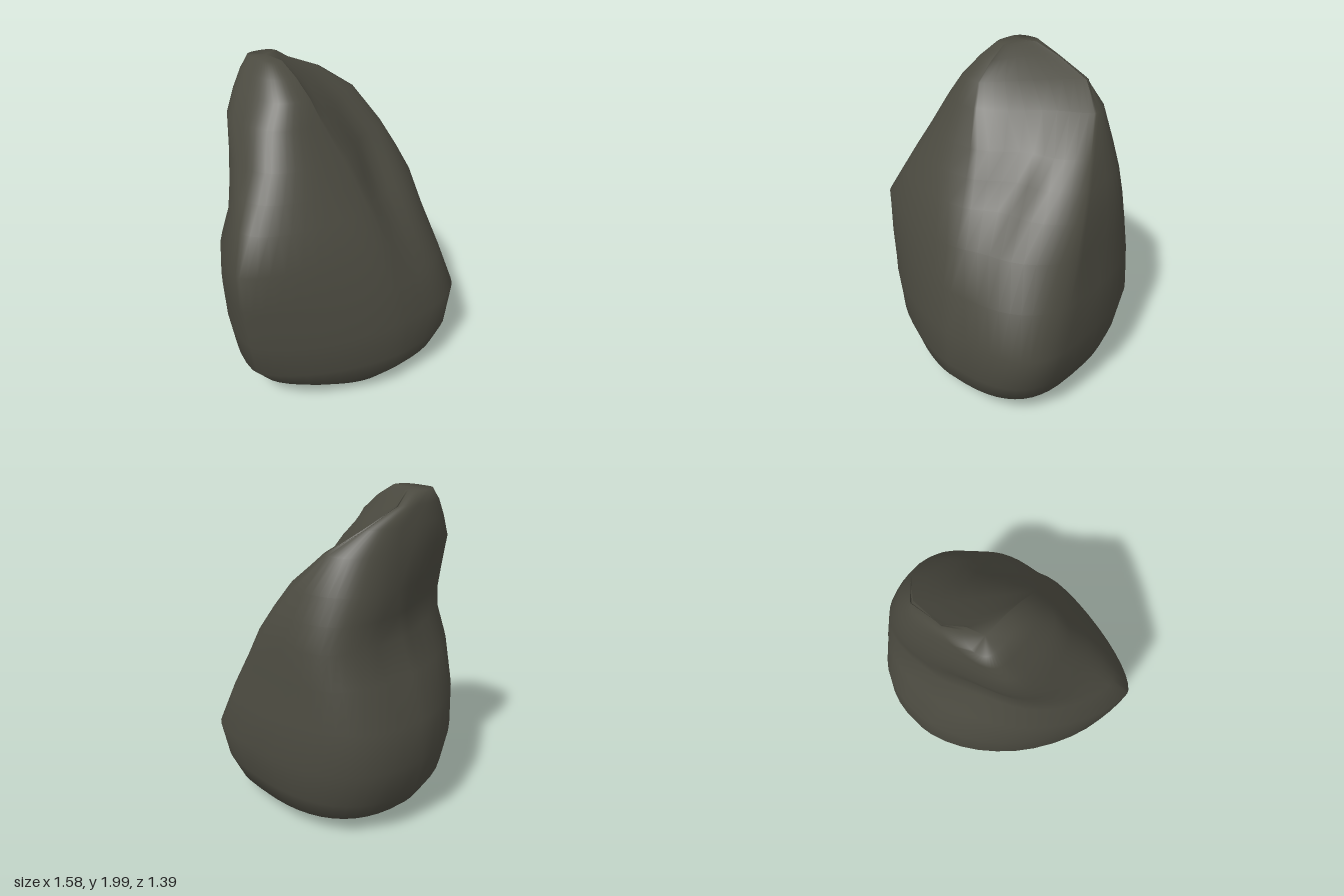
import * as THREE from 'three';

const { smoothstep } = THREE.MathUtils;

// Each level: height, then the four extreme points of its outline:
// left x,z | right x,z | front z,x | back z,x
const LEVELS = [
  [0.01, -0.38, 0.20, 0.43, 0.10, 0.54, 0.05, -0.30, 0.20],
  [0.06, -0.48, 0.22, 0.56, 0.12, 0.59, 0.10, -0.44, 0.14],
  [0.14, -0.59, 0.24, 0.69, 0.16, 0.66, 0.12, -0.55, 0.12],
  [0.27, -0.70, 0.25, 0.74, 0.22, 0.70, 0.15, -0.635, 0.12],
  [0.50, -0.745, 0.26, 0.785, 0.26, 0.695, 0.15, -0.695, 0.13],
  [0.75, -0.775, 0.27, 0.74, 0.20, 0.635, 0.13, -0.67, 0.12],
  [1.00, -0.79, 0.27, 0.705, 0.14, 0.56, 0.10, -0.57, 0.10],
  [1.20, -0.69, 0.17, 0.68, 0.08, 0.45, 0.05, -0.50, 0.10],
  [1.35, -0.615, 0.06, 0.635, -0.01, 0.365, 0.01, -0.505, 0.13],
  [1.50, -0.54, -0.05, 0.58, -0.10, 0.28, -0.03, -0.51, 0.15],
  [1.70, -0.46, -0.20, 0.48, -0.23, 0.17, -0.10, -0.485, 0.15],
  [1.83, -0.38, -0.26, 0.31, -0.35, 0.10, -0.13, -0.45, 0.08],
  [1.93, -0.31, -0.29, 0.07, -0.38, -0.02, -0.14, -0.43, -0.05],
  [2.00, -0.25, -0.30, -0.05, -0.33, -0.14, -0.15, -0.40, -0.15],
];
const SEGMENTS = 48;

// Soft round dent, 1 at its centre
const dent = (x, y, cx, cy, rx, ry) =>
  Math.exp(-(((x - cx) / rx) ** 2) - ((y - cy) / ry) ** 2);

// Point on an outline made of four superellipse quarters
function outlinePoint([y, xL, zL, xR, zR, zF, xF, zB, xB], angle) {
  const c = Math.cos(angle), s = Math.sin(angle);
  const right = c >= 0, front = s >= 0;
  const waist = smoothstep(y, 0.5, 1.2);
  // Larger exponents flatten a quarter and, above 2, hollow it
  let e;
  if (right && front) e = 0.68 + 0.6 * waist + 0.95 * smoothstep(y, 1.45, 1.95);
  else if (right) e = 0.76 - 0.25 * waist + 0.35 * smoothstep(y, 1.2, 1.7);
  else if (front) e = 1.3 - 0.65 * smoothstep(y, 0.9, 1.5);
  else e = 1.15 - 0.45 * smoothstep(y, 1.2, 1.95);
  const cx = front ? xF : xB, cz = right ? zR : zL;
  const ex = right ? xR : xL, ez = front ? zF : zB;
  const x = cx + (ex - cx) * Math.abs(c) ** e;
  let z = cz + (ez - cz) * Math.abs(s) ** e;
  // Valley beside the front ridge, scoop in the upper back
  if (front) z -= 0.1 * dent(x, y, 0.26, 1.4, 0.17, 0.45);
  else z += 0.07 * dent(x, y, -0.15, 1.33, 0.25, 0.25);
  return [x, y, z];
}

function boulderGeometry() {
  const positions = [], index = [];
  for (const level of LEVELS) {
    for (let j = 0; j < SEGMENTS; j++) {
      positions.push(...outlinePoint(level, (j / SEGMENTS) * Math.PI * 2));
    }
  }
  // Skin between the levels
  for (let i = 0; i < LEVELS.length - 1; i++) {
    for (let j = 0; j < SEGMENTS; j++) {
      const k = (j + 1) % SEGMENTS;
      const a = i * SEGMENTS + j, b = i * SEGMENTS + k;
      const c = a + SEGMENTS, d = b + SEGMENTS;
      index.push(a, c, b, b, c, d);
    }
  }
  // Closed underside and crown
  const bottom = positions.length / 3;
  positions.push(0.05, 0.03, 0.1, -0.15, 2, -0.3);
  const top = bottom + 1, last = (LEVELS.length - 1) * SEGMENTS;
  for (let j = 0; j < SEGMENTS; j++) {
    const k = (j + 1) % SEGMENTS;
    index.push(bottom, j, k, top, last + k, last + j);
  }
  const geometry = new THREE.BufferGeometry();
  geometry.setAttribute('position', new THREE.Float32BufferAttribute(positions, 3));
  geometry.setIndex(index);
  geometry.computeVertexNormals();
  return geometry;
}

export function createModel() {
  const group = new THREE.Group();
  group.name = 'rock';
  const material = new THREE.MeshStandardMaterial({ color: 0x4b4a40 });
  const boulder = new THREE.Mesh(boulderGeometry(), material);
  boulder.name = 'boulder';
  group.add(boulder);
  return group;
}
